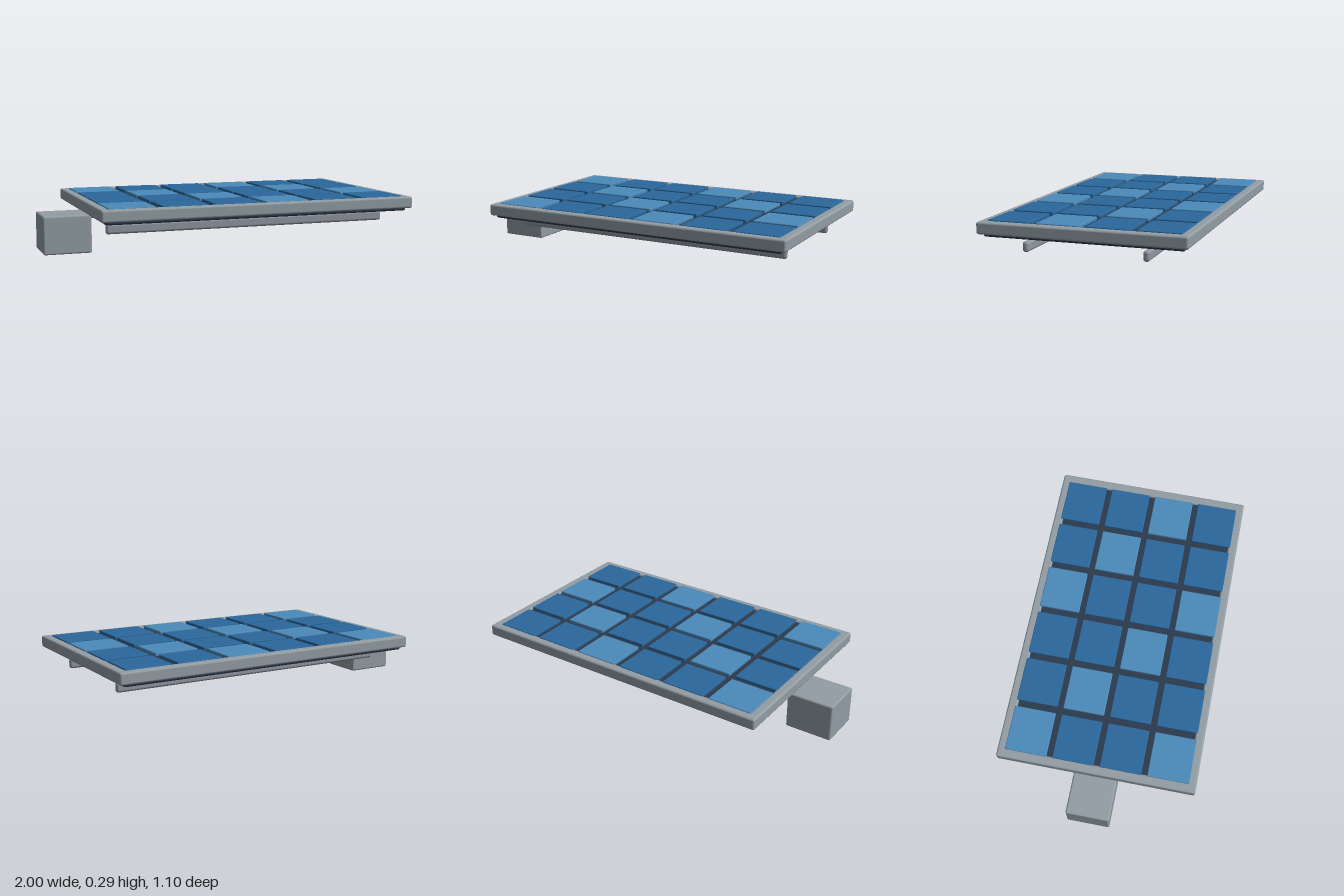
import * as THREE from 'three';
import { RoundedBoxGeometry } from 'three/addons/geometries/RoundedBoxGeometry.js';

const material = (name, color) => {
  const m = new THREE.MeshStandardMaterial({ color });
  m.name = name;
  return m;
};

export function createModel() {
  const group = new THREE.Group();
  group.name = 'solarPanel';

  const frameGrey = material('frameGrey', 0x929da4);
  const railGrey = material('railGrey', 0x9096a0);
  const backingNavy = material('backingNavy', 0x2b394d);
  const cellBlue = material('cellBlue', 0x2a689c);
  const cellLightBlue = material('cellLightBlue', 0x4b8aba);

  // Rounded box given by its extents on each axis
  const block = (name, mat, [x0, x1], [y0, y1], [z0, z1], radius) => {
    const geometry = new RoundedBoxGeometry(x1 - x0, y1 - y0, z1 - z0, 3, radius);
    const mesh = new THREE.Mesh(geometry, mat);
    mesh.name = name;
    mesh.position.set((x0 + x1) / 2, (y0 + y1) / 2, (z0 + z1) / 2);
    group.add(mesh);
  };

  // Dark backing sheet
  block('backing', backingNavy, [-0.755, 0.97], [0.207, 0.276], [-0.525, 0.525], 0.01);

  // Frame: long bars over the full width, end bars between them
  const frameY = [0.223, 0.287];
  block('frameFront', frameGrey, [-0.78, 1], frameY, [0.497, 0.55], 0.011);
  block('frameBack', frameGrey, [-0.78, 1], frameY, [-0.55, -0.497], 0.011);
  block('frameRight', frameGrey, [-0.78, -0.728], frameY, [-0.52, 0.52], 0.011);
  block('frameLeft', frameGrey, [0.947, 1], frameY, [-0.52, 0.52], 0.011);

  // Grid of cells with a diagonal pattern of lighter ones
  for (let row = 0; row < 4; row++) {
    for (let col = 0; col < 6; col++) {
      const x = 0.108 + (col - 2.5) * 0.287;
      const z = (row - 1.5) * 0.2625;
      const mat = (col - row + 3) % 3 === 0 ? cellLightBlue : cellBlue;
      block(`cell_${row}_${col}`, mat, [x - 0.125, x + 0.125], [0.266, 0.292], [z - 0.115, z + 0.115], 0.005);
    }
  }

  // Support rails below the panel
  for (const [name, z] of [['railFront', 0.318], ['railBack', -0.318]]) {
    block(name, railGrey, [-0.706, 0.924], [0.13, 0.185], [z - 0.0165, z + 0.0165], 0.014);
  }

  // Mounting block at the end
  block('mountBlock', frameGrey, [-1, -0.735], [0, 0.21], [-0.12, 0.12], 0.01);

  return group;
}
